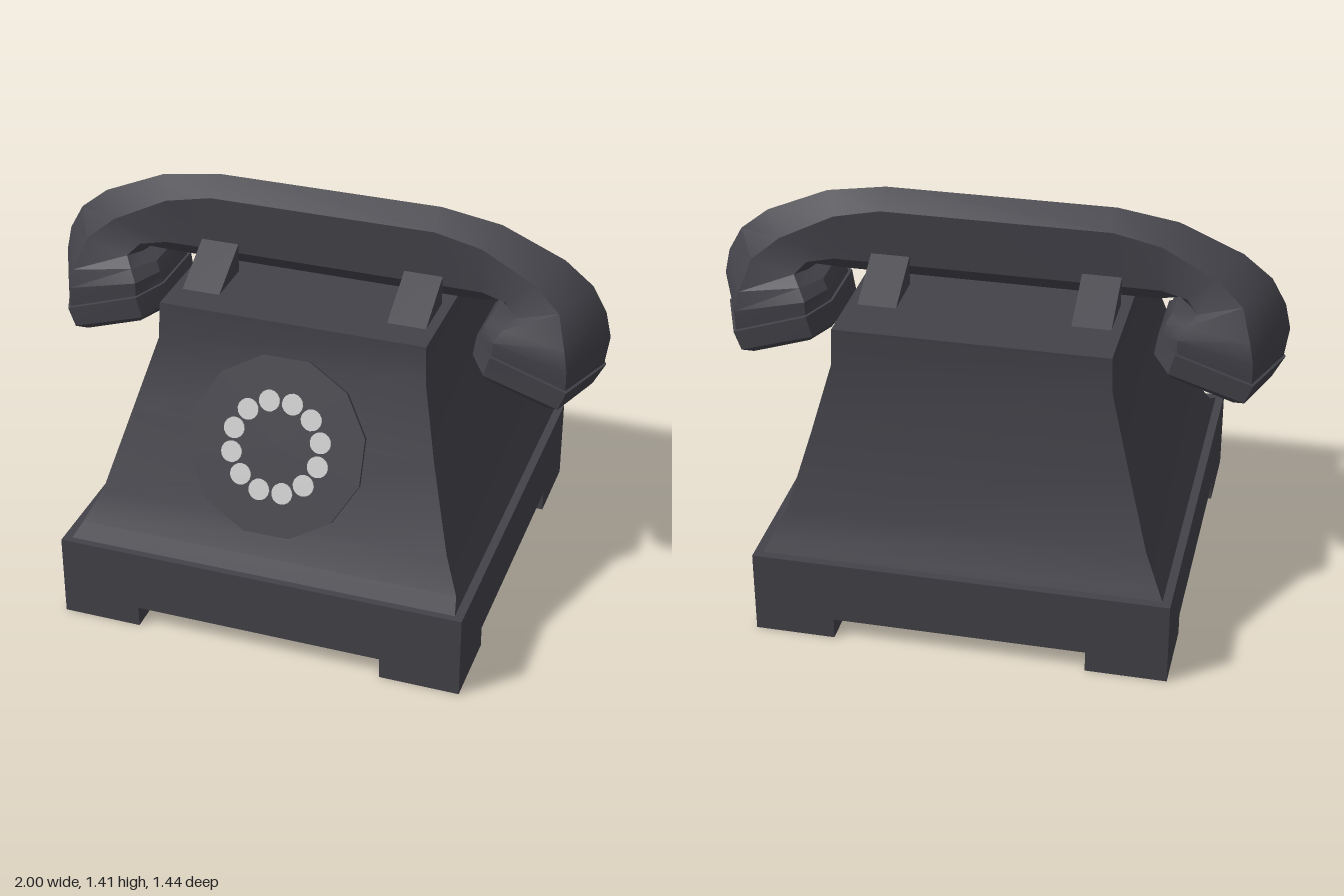
import * as THREE from 'three';
import { toCreasedNormals } from 'three/addons/utils/BufferGeometryUtils.js';

const dark = new THREE.MeshStandardMaterial({ color: 0x434249 });
const light = new THREE.MeshStandardMaterial({ color: 0xcccccc });

// Skin closed rings of [x, y, z] points and cap both ends.
function loft(rings, crease) {
  const n = rings[0].length;
  const pos = rings.flat(2);
  const index = [];
  for (let i = 0; i < rings.length - 1; i++) {
    for (let j = 0; j < n; j++) {
      const a = i * n + j, b = i * n + (j + 1) % n;
      index.push(a, b, b + n, a, b + n, a + n);
    }
  }
  const cap = (ring, start, flip) => {
    const centre = pos.length / 3;
    for (let k = 0; k < 3; k++) pos.push(ring.reduce((s, p) => s + p[k], 0) / n);
    for (let j = 0; j < n; j++) {
      const a = start + j, b = start + (j + 1) % n;
      index.push(centre, flip ? b : a, flip ? a : b);
    }
  };
  cap(rings[0], 0, true);
  cap(rings[rings.length - 1], (rings.length - 1) * n, false);
  const geo = new THREE.BufferGeometry();
  geo.setAttribute('position', new THREE.Float32BufferAttribute(pos, 3));
  geo.setIndex(index);
  return toCreasedNormals(geo, crease);
}

function add(parent, name, geo, x = 0, y = 0, z = 0, mat = dark) {
  const mesh = new THREE.Mesh(geo, mat);
  mesh.name = name;
  mesh.position.set(x, y, z);
  parent.add(mesh);
  return mesh;
}

export function createModel() {
  const model = new THREE.Group();
  model.name = 'telephone';

  // Plinth with four corner feet
  add(model, 'base', new THREE.BoxGeometry(1.44, 0.225, 1.44), 0, 0.1875, 0);
  for (const sx of [-1, 1]) for (const sz of [-1, 1]) {
    add(model, 'foot', new THREE.BoxGeometry(0.28, 0.075, 0.28), sx * 0.58, 0.0375, sz * 0.58);
  }

  // Flared body: height, half width, front z, back z
  const body = [
    [0.30, 0.69, 0.695, -0.69],
    [0.33, 0.675, 0.63, -0.675],
    [0.44, 0.62, 0.565, -0.62],
    [0.72, 0.54, 0.465, -0.555],
    [0.96, 0.475, 0.365, -0.506],
    [1.092, 0.47, 0.355, -0.505],
  ].map(([y, h, f, b]) => [[-h, y, f], [h, y, f], [h, y, b], [-h, y, b]]);
  add(model, 'body', loft(body, 0.5));

  // Tilted dial with a ring of finger spots
  const dial = new THREE.Group();
  dial.name = 'dial';
  dial.position.set(0, 0.70, 0.502);
  dial.rotation.x = 1.19;
  const plate = new THREE.CylinderGeometry(0.315, 0.315, 0.015, 12).rotateY(Math.PI / 12);
  add(dial, 'dialPlate', toCreasedNormals(plate, 0.4));
  for (let i = 0; i < 12; i++) {
    const a = (i + 0.5) * Math.PI / 6;
    const spot = new THREE.CylinderGeometry(0.037, 0.037, 0.006, 16);
    add(dial, 'fingerSpot', spot, 0.159 * Math.cos(a), 0.009, 0.159 * Math.sin(a), light);
  }
  model.add(dial);

  // Wedge-shaped cradle rests either side of the handle
  const midZ = -0.037;
  for (const sx of [-1, 1]) for (const sz of [-1, 1]) {
    const wedge = new THREE.Shape();
    wedge.moveTo(0.09, 0);
    wedge.lineTo(0.28, 0);
    wedge.lineTo(0.09, 0.105);
    const geo = new THREE.ExtrudeGeometry(wedge, { depth: 0.135, bevelEnabled: false });
    geo.translate(0, 0, -0.0675).rotateY(-sz * Math.PI / 2);
    add(model, 'cradleRest', geo, sx * 0.367, 1.09, midZ);
  }

  // Handset half: ridge x,y | shoulder x,y,width | lower side x,y,width | inner x,y,width
  const half = [
    [0.40, 1.408, 0.40, 1.355, 0.088, 0.40, 1.16, 0.088, 0.40, 1.11, 0.05],
    [0.61, 1.375, 0.565, 1.32, 0.09, 0.57, 1.16, 0.09, 0.56, 1.11, 0.05],
    [0.83, 1.28, 0.755, 1.23, 0.112, 0.66, 1.15, 0.115, 0.63, 1.13, 0.06],
    [0.93, 1.20, 0.85, 1.155, 0.145, 0.70, 1.11, 0.14, 0.67, 1.10, 0.07],
    [0.98, 1.11, 0.885, 1.05, 0.195, 0.67, 1.08, 0.18, 0.61, 1.08, 0.09],
    [1.00, 1.02, 0.90, 0.98, 0.21, 0.645, 1.04, 0.205, 0.59, 1.05, 0.11],
    [0.985, 0.915, 0.90, 0.905, 0.205, 0.645, 0.99, 0.205, 0.58, 1.01, 0.115],
  ];
  const rim = [
    [0.992, 0.912, 0.905, 0.902, 0.217, 0.64, 0.99, 0.217, 0.57, 1.015, 0.125],
    [0.95, 0.83, 0.88, 0.835, 0.217, 0.62, 0.915, 0.215, 0.558, 0.937, 0.125],
    [0.91, 0.803, 0.84, 0.825, 0.20, 0.635, 0.89, 0.195, 0.58, 0.907, 0.115],
  ];
  // Seven-sided ring, symmetric about the handle's centre plane
  const ring = (s) => ([rx, ry, sx, sy, sw, lx, ly, lw, bx, by, bw]) => [
    [s * rx, ry, 0], [s * sx, sy, sw], [s * lx, ly, lw], [s * bx, by, bw],
    [s * bx, by, -bw], [s * lx, ly, -lw], [s * sx, sy, -sw],
  ];
  const handset = new THREE.Group();
  handset.name = 'handset';
  handset.position.z = midZ;
  const left = half.map(ring(1)), right = half.map(ring(-1)).reverse();
  add(handset, 'handle', loft([...right, ...left], 0.45));
  add(handset, 'leftCupRim', loft(rim.map(ring(1)), 0.4));
  add(handset, 'rightCupRim', loft(rim.map(ring(-1)).reverse(), 0.4));
  model.add(handset);

  return model;
}
